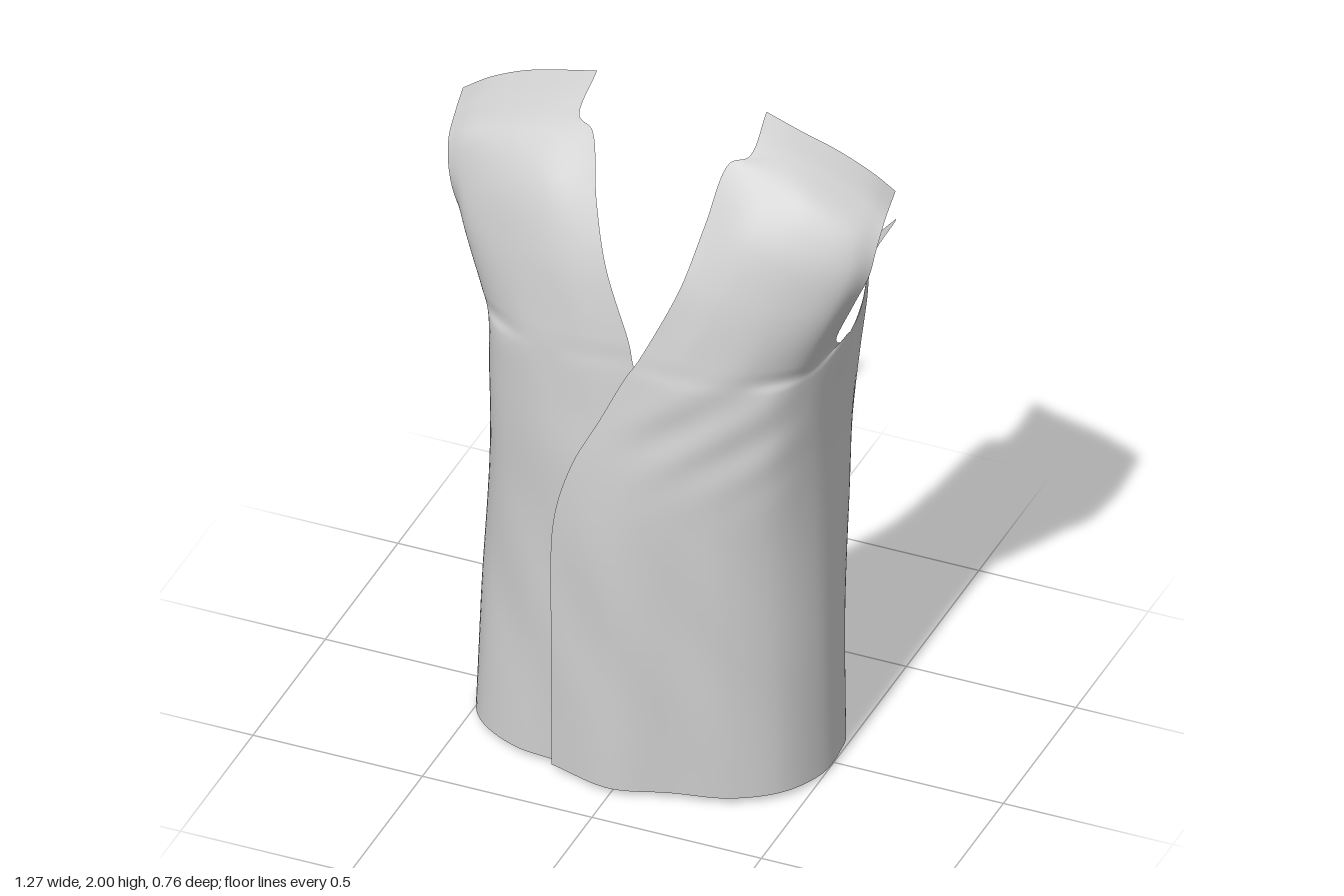
import * as THREE from 'three';

// Body rows from hem to underarm: [y, [x, z]...] from the overlapping front edge round to the open back edge
const BODY = [
  [0.01, [-.19, .335], [0, .38], [.16, .335], [.32, .295], [.44, .21], [.5, .07], [.5, -.05], [.48, -.13], [.42, -.2]],
  [0.4, [-.19, .335], [0, .365], [.16, .333], [.31, .293], [.43, .2], [.49, .06], [.485, -.08], [.465, -.16], [.42, -.23]],
  [0.8, [-.188, .33], [0, .352], [.16, .33], [.3, .288], [.41, .2], [.47, .06], [.475, -.09], [.465, -.19], [.425, -.275]],
  [1.0, [-.137, .322], [.03, .333], [.17, .322], [.3, .282], [.41, .2], [.465, .06], [.47, -.1], [.46, -.21], [.43, -.305]],
  [1.15, [-.065, .303], [.075, .312], [.195, .303], [.31, .267], [.413, .195], [.465, .065], [.47, -.14], [.46, -.23], [.437, -.33]],
  [1.3, [.005, .28], [.12, .294], [.22, .285], [.32, .25], [.415, .187], [.467, .065], [.475, -.17], [.46, -.26], [.445, -.36]],
];
const UNDERARM = 6; // body point below the armhole

// The right half ends in a straighter back edge: [x, z] per body row
const RIGHT_BACK = [[.45, -.19], [.452, -.2], [.458, -.205], [.465, -.212], [.475, -.225], [.49, -.25]];

// Chest and shoulder rows, each from neckline to armhole, ending at the shoulder edge
const SHOULDER_LEFT = [
  [[.03, 1.35, .273], [.175, 1.35, .282], [.33, 1.345, .241], [.45, 1.33, .118], [.478, 1.313, -.1]],
  [[.055, 1.4, .264], [.19, 1.4, .271], [.345, 1.39, .232], [.466, 1.375, .12], [.49, 1.365, -.04]],
  [[.14, 1.6, .215], [.27, 1.6, .215], [.42, 1.58, .18], [.54, 1.56, .11], [.575, 1.55, .035]],
  [[.175, 1.76, .13], [.3, 1.77, .14], [.45, 1.73, .13], [.58, 1.69, .085], [.622, 1.66, .04]],
  [[.205, 1.91, .03], [.32, 1.885, .04], [.45, 1.845, .05], [.58, 1.78, .04], [.634, 1.735, .02]],
  [[.25, 1.925, 0], [.33, 1.93, -.035], [.45, 1.895, -.04], [.575, 1.835, -.04], [.634, 1.795, -.04]],
  [[.25, 1.997, -.12], [.35, 1.96, -.122], [.46, 1.92, -.128], [.56, 1.868, -.135], [.62, 1.82, -.145]],
];
const SHOULDER_RIGHT = [
  [[-.015, 1.35, .256], [.16, 1.35, .268], [.33, 1.345, .238], [.475, 1.33, .12], [.495, 1.313, -.1]],
  [[-.003, 1.4, .25], [.165, 1.4, .261], [.34, 1.39, .23], [.485, 1.375, .125], [.51, 1.37, -.03]],
  [[.085, 1.6, .205], [.24, 1.6, .215], [.4, 1.58, .18], [.535, 1.56, .12], [.58, 1.55, .045]],
  [[.145, 1.76, .13], [.28, 1.77, .14], [.43, 1.74, .125], [.56, 1.7, .09], [.604, 1.68, .07]],
  [[.2, 1.91, .03], [.32, 1.885, .04], [.44, 1.855, .045], [.57, 1.81, .045], [.62, 1.775, .04]],
  [[.25, 1.925, 0], [.33, 1.935, -.035], [.44, 1.91, -.04], [.57, 1.86, -.035], [.628, 1.825, -.03]],
  [[.25, 1.997, -.12], [.35, 1.972, -.122], [.46, 1.942, -.12], [.56, 1.9, -.11], [.637, 1.85, -.1]],
];

// Pointed scraps rising behind each armhole
const TIP_LEFT = [
  [[.473, 1.308, -.225], [.46, 1.335, -.3], [.447, 1.36, -.367]],
  [[.465, 1.335, -.29], [.455, 1.37, -.33], [.45, 1.41, -.374]],
  [[.46, 1.42, -.345], [.46, 1.445, -.362], [.465, 1.48, -.38]],
  [[.53, 1.565, -.355], [.53, 1.567, -.357], [.53, 1.57, -.36]],
];
const TIP_RIGHT = [
  [[.489, 1.308, -.195], [.49, 1.335, -.225], [.493, 1.36, -.256]],
  [[.49, 1.335, -.222], [.493, 1.37, -.245], [.499, 1.41, -.265]],
  [[.525, 1.43, -.265], [.525, 1.45, -.273], [.525, 1.475, -.281]],
  [[.6, 1.565, -.292], [.6, 1.567, -.294], [.6, 1.57, -.297]],
];

const curve = (pts) => new THREE.CatmullRomCurve3(pts);
const vec = (p) => new THREE.Vector3(...p);
const { smoothstep } = THREE.MathUtils;

// Soft folds: diagonal across the left chest, long ones below the waist
function fold(p) {
  const band = (y, w) => Math.exp(-(((p.y - y) / w) ** 2));
  const front = smoothstep(p.z, 0, 0.25);
  const chest = band(1.17, 0.15) * smoothstep(p.x, -0.1, 0.2);
  p.z += front * (0.005 * chest * Math.sin(34 * (p.y - 0.8 * p.x) + 3 * p.x * p.x)
    + 0.004 * band(0.5, 0.28) * Math.sin(20 * p.x + 9 * p.y + 2));
  return p;
}

// Smooth cloth through row curves; each entry is [curve, uStart, uEnd]
function cloth(name, rows, side, nu, nv, material) {
  const position = [], index = [];
  for (let i = 0; i <= nu; i++) {
    const column = curve(rows.map(([c, a, b]) => c.getPoint(a + (b - a) * i / nu)));
    for (let j = 0; j <= nv; j++) {
      const p = column.getPoint(j / nv);
      p.x *= side;
      position.push(...fold(p).toArray());
      if (i < nu && j < nv) {
        const a = i * (nv + 1) + j, b = a + nv + 1;
        if (side > 0) index.push(a, b, a + 1, b, b + 1, a + 1);
        else index.push(a, a + 1, b, b, a + 1, b + 1);
      }
    }
  }
  const geometry = new THREE.BufferGeometry();
  geometry.setAttribute('position', new THREE.Float32BufferAttribute(position, 3));
  geometry.setIndex(index);
  geometry.computeVertexNormals();
  const mesh = new THREE.Mesh(geometry, material);
  mesh.name = name;
  return mesh;
}

// Body points of the right half: tucked beneath the left, fuller at the side, drawn in at the waist
function rightPoint([x, z], i, row) {
  if (i > UNDERARM) {
    const [bx, bz] = RIGHT_BACK[row], t = (i - UNDERARM) / 2;
    const [sx, sz] = BODY[row][UNDERARM + 1];
    return [THREE.MathUtils.lerp(sx * 1.035, bx, t), THREE.MathUtils.lerp(sz, bz, t)];
  }
  const under = 0.018 * (1 - smoothstep(x, 0.2, 0.35));
  const waist = i === 3 || i === 4 ? 0.02 * Math.sin(Math.PI * BODY[row][0] / 1.3) : 0;
  const neck = row === BODY.length - 1 && i === 0 ? 0.033 : 0;
  return [(i > 3 ? x * 1.035 : x) - neck, z - under - waist];
}

// One half of the wrap vest: front panel with shoulder, and side panel with tip
function half(label, side, shoulder, tip, material) {
  const group = new THREE.Group();
  group.name = label + 'Half';
  const body = BODY.map(([y, ...pts], row) => curve(pts.map((p, i) => {
    const [x, z] = side < 0 ? rightPoint(p, i, row) : p;
    const dy = i < 5 ? 0.008 : i > UNDERARM ? -0.01 : 0;
    return new THREE.Vector3(x, y + dy, z);
  })));
  const split = UNDERARM / (BODY[0].length - 2);
  const upper = (rows) => rows.map((r) => [curve(r.map(vec)), 0, 1]);
  const front = [...body.map((c) => [c, 0, split]), ...upper(shoulder)];
  const flank = [...body.map((c) => [c, split, 1]), ...upper(tip)];
  group.add(cloth(label + 'FrontPanel', front, side, 48, 120, material));
  group.add(cloth(label + 'SidePanel', flank, side, 14, 90, material));
  return group;
}

export function createModel() {
  const model = new THREE.Group();
  model.name = 'wrapVest';
  const material = new THREE.MeshStandardMaterial({ color: 0xcccccc, side: THREE.DoubleSide });
  model.add(half('left', 1, SHOULDER_LEFT, TIP_LEFT, material));
  model.add(half('right', -1, SHOULDER_RIGHT, TIP_RIGHT, material));
  return model;
}
